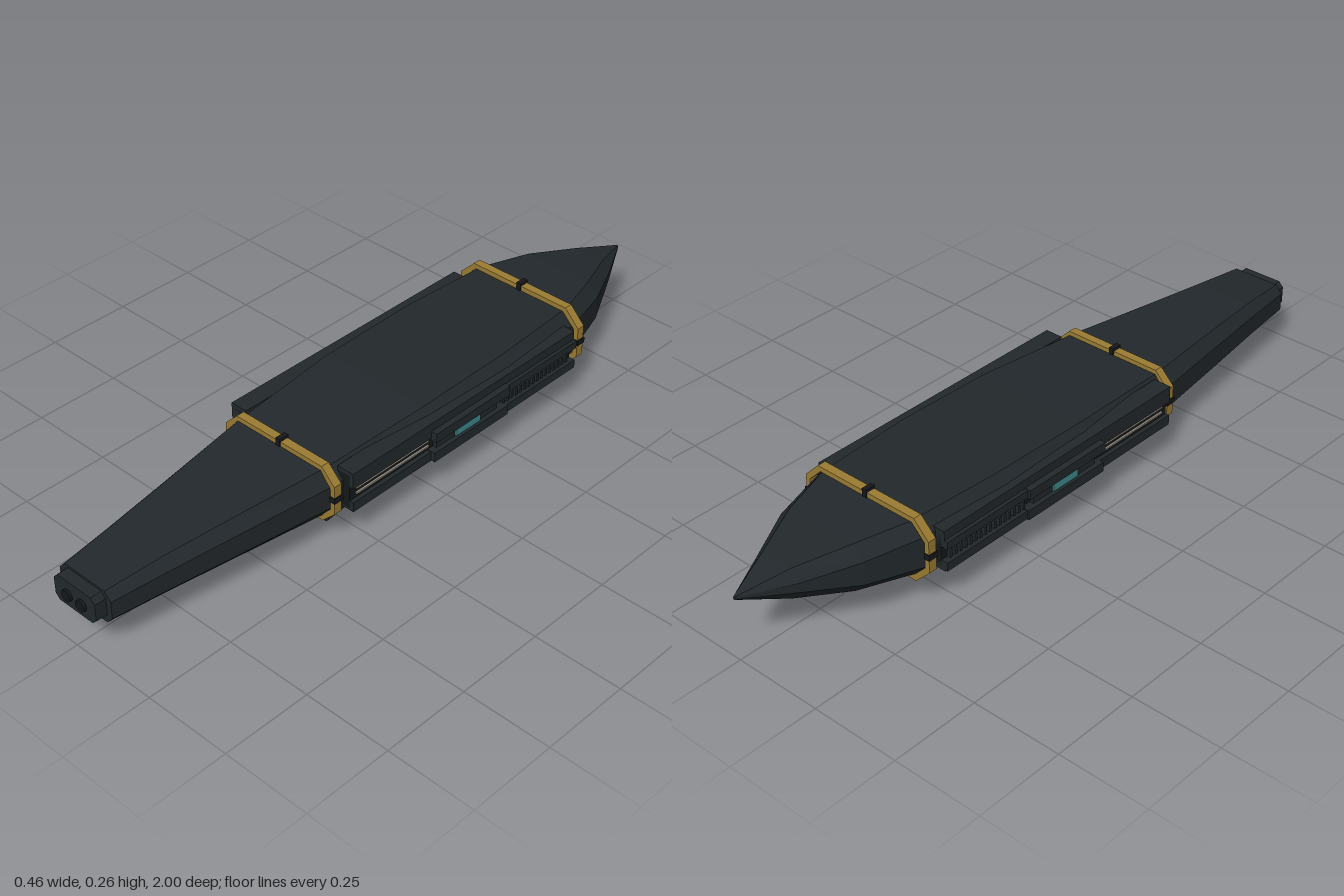
import * as THREE from 'three';

const mat = (color, flatShading = true) => new THREE.MeshStandardMaterial({ color, flatShading });
const DARK = mat(0x22282b), BLACK = mat(0x15181a), GOLD = mat(0x9a7b32);
const TEAL = mat(0x3f8a90), STEEL = mat(0x9a9488);

function add(parent, name, geometry, material, x = 0, y = 0, z = 0) {
  const mesh = new THREE.Mesh(geometry, material);
  mesh.name = name;
  mesh.position.set(x, y, z);
  parent.add(mesh);
  return mesh;
}

// Box given by its limits
function box(parent, name, material, x0, x1, y0, y1, z0, z1) {
  return add(parent, name, new THREE.BoxGeometry(Math.abs(x1 - x0), y1 - y0, z1 - z0), material,
    (x0 + x1) / 2, (y0 + y1) / 2, (z0 + z1) / 2);
}

// Chamfered rectangle, counter-clockwise
const octagon = (w, y0, y1, cx, cy) => [
  [w, y0 + cy], [w, y1 - cy], [w - cx, y1], [cx - w, y1],
  [-w, y1 - cy], [-w, y0 + cy], [cx - w, y0], [w - cx, y0],
];

// Flat-shaded skin through cross-sections ordered from -z to +z
function loft(sections) {
  const rings = sections.map(([z, ...o]) => octagon(...o).map(([x, y]) => [x, y, z]));
  const pos = [];
  for (let i = 0; i < rings.length - 1; i++) {
    const a = rings[i], b = rings[i + 1];
    for (let j = 0; j < 8; j++) {
      const k = (j + 1) % 8;
      pos.push(...a[j], ...a[k], ...b[k], ...a[j], ...b[k], ...b[j]);
    }
  }
  const first = rings[0], last = rings[rings.length - 1];
  for (let j = 1; j < 7; j++) {
    pos.push(...last[0], ...last[j], ...last[j + 1]);
    pos.push(...first[0], ...first[j + 1], ...first[j]);
  }
  const g = new THREE.BufferGeometry();
  g.setAttribute('position', new THREE.Float32BufferAttribute(pos, 3));
  g.computeVertexNormals();
  return g;
}

const toPoints = (list) => list.map(([x, y]) => new THREE.Vector2(x, y));

// Gold band around the hull with dark clasps at its four joints
function band(parent, name, z, w, y0, y1, c) {
  const group = new THREE.Group();
  group.name = name;
  const t = 0.014, d = 0.024, mid = (y0 + y1) / 2;
  const shape = new THREE.Shape(toPoints(octagon(w, y0, y1, c, c)));
  shape.holes.push(new THREE.Path(toPoints(octagon(w - t, y0 + t, y1 - t, c - t * 0.4, c - t * 0.4))));
  add(group, 'hoop', new THREE.ExtrudeGeometry(shape, { depth: d, bevelEnabled: false }), GOLD, 0, 0, z - d / 2);
  for (const y of [y0, y1 - t]) {
    box(group, 'clasp', BLACK, -0.007, 0.007, y - 0.008, y + t + 0.008, z - 0.015, z + 0.015);
  }
  for (const s of [-1, 1]) {
    box(group, 'sideClasp', BLACK, s * (w - t), s * (w + 0.003), mid - 0.008, mid + 0.008, z - 0.015, z + 0.015);
  }
  parent.add(group);
}

// Stepped side armour with an open channel, slats and a lit window
function sidePod(s) {
  const pod = new THREE.Group();
  pod.name = s > 0 ? 'leftPod' : 'rightPod';
  const part = (name, m, x0, x1, ...r) => box(pod, name, m, s * x0, s * x1, ...r);
  part('backing', BLACK, 0.15, 0.2, 0.105, 0.205, -0.54, 0.3);
  part('upperPanel', DARK, 0.16, 0.212, 0.17, 0.216, -0.54, 0.3);
  part('lowerPanel', DARK, 0.16, 0.212, 0.1, 0.128, -0.54, 0.3);
  part('upperRearPlate', DARK, 0.2, 0.222, 0.168, 0.19, -0.54, -0.26);
  part('lowerRearPlate', DARK, 0.2, 0.22, 0.104, 0.128, -0.54, -0.26);
  part('upperMidPlate', DARK, 0.2, 0.23, 0.165, 0.192, -0.26, 0.02);
  part('lowerMidPlate', DARK, 0.2, 0.225, 0.102, 0.13, -0.26, 0.02);
  part('window', TEAL, 0.19, 0.218, 0.132, 0.164, -0.16, -0.07);
  part('windowHousing', DARK, 0.19, 0.212, 0.13, 0.168, -0.23, 0);
  for (const y of [0.14, 0.157]) {
    part('frontRail', STEEL, 0.197, 0.205, y, y + 0.005, 0.02, 0.28);
  }
  part('rearRail', STEEL, 0.197, 0.204, 0.156, 0.161, -0.53, -0.25);
  for (let i = 0; i < 16; i++) {
    const z = -0.52 + i * 0.017;
    part('slat', DARK, 0.195, 0.21, 0.128, 0.15, z, z + 0.008);
  }
  return pod;
}

export function createModel() {
  const model = new THREE.Group();
  model.name = 'longHull';

  // Hull: z, half width, bottom, top, chamfer across, chamfer up
  add(model, 'hull', loft([
    [-1, 0.003, 0.177, 0.185, 0.001, 0.002],
    [-0.87, 0.072, 0.128, 0.214, 0.025, 0.03],
    [-0.73, 0.14, 0.098, 0.234, 0.035, 0.035],
    [-0.58, 0.182, 0.084, 0.241, 0.032, 0.035],
    [-0.3, 0.196, 0.078, 0.241, 0.03, 0.03],
    [0, 0.196, 0.077, 0.235, 0.03, 0.035],
    [0.33, 0.176, 0.077, 0.217, 0.03, 0.038],
    [0.6, 0.138, 0.08, 0.204, 0.028, 0.032],
    [0.8, 0.11, 0.084, 0.194, 0.025, 0.028],
    [0.96, 0.09, 0.089, 0.183, 0.02, 0.022],
  ]), DARK);

  // Blunt end with two ports
  add(model, 'endBlock', loft([
    [0.94, 0.073, 0.099, 0.177, 0.014, 0.014],
    [0.992, 0.072, 0.1, 0.176, 0.014, 0.014],
  ]), DARK);
  for (const x of [-0.025, 0.025]) {
    const port = add(model, 'port', new THREE.CylinderGeometry(0.016, 0.016, 0.02, 24), BLACK, x, 0.135, 0.99);
    port.rotation.x = Math.PI / 2;
  }

  band(model, 'frontBand', 0.33, 0.19, 0.063, 0.23, 0.042);
  band(model, 'rearBand', -0.575, 0.207, 0.073, 0.255, 0.046);

  // Keel rail
  box(model, 'keelRail', STEEL, -0.013, 0.013, 0.071, 0.087, -0.76, 0.93);
  box(model, 'keelRailEnd', STEEL, -0.016, 0.016, 0.078, 0.102, -0.78, -0.755);

  // Swept fins under the hull, outline in z and y
  const fin = new THREE.Shape(toPoints([
    [0.283, 0.004], [0.283, 0.017], [0.17, 0.085], [-0.03, 0.085],
    [0.07, 0.035], [0.09, 0.026], [0.15, 0.021],
  ]));
  const finGeometry = new THREE.ExtrudeGeometry(fin, {
    depth: 0.014, bevelSize: 0.003, bevelThickness: 0.004, bevelSegments: 1,
  });
  finGeometry.translate(0, 0, -0.007);
  finGeometry.rotateY(-Math.PI / 2);
  for (const s of [-1, 1]) {
    add(model, 'fin', finGeometry, DARK, s * 0.096);
    box(model, 'finTrim', GOLD, s * 0.09, s * 0.102, 0.07, 0.08, -0.02, 0.0);
    model.add(sidePod(s));
  }
  return model;
}
